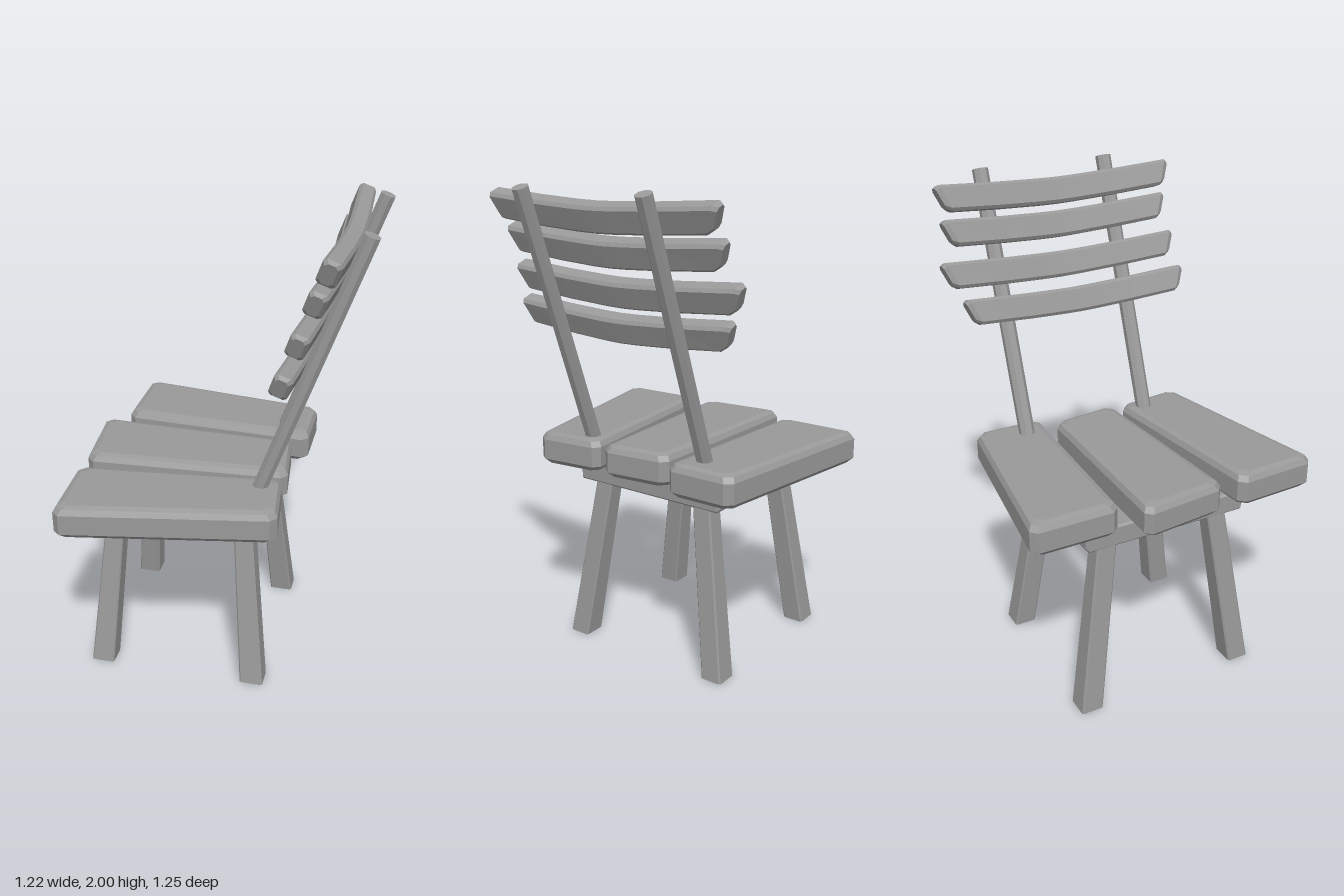
import * as THREE from 'three';

const V = (x, y, z) => new THREE.Vector3(x, y, z);

// Closed, faceted solid through equal-length rings of points
function loft(rings) {
  const n = rings[0].length, tris = [];
  for (let r = 0; r < rings.length - 1; r++) {
    for (let i = 0; i < n; i++) {
      const j = (i + 1) % n, a = rings[r], b = rings[r + 1];
      tris.push([a[i], a[j], b[j]], [a[i], b[j], b[i]]);
    }
  }
  const first = rings[0], last = rings[rings.length - 1];
  for (let i = 1; i < n - 1; i++) {
    tris.push([first[0], first[i + 1], first[i]], [last[0], last[i], last[i + 1]]);
  }
  // turn the faces outward whichever way the rings run
  let volume = 0;
  for (const [a, b, c] of tris) volume += a.dot(b.clone().cross(c));
  const points = tris.flatMap(([a, b, c]) => (volume < 0 ? [a, c, b] : [a, b, c]));
  const geometry = new THREE.BufferGeometry().setFromPoints(points);
  geometry.computeVertexNormals();
  return geometry;
}

// Four corners [a, b], moved inward and cut off to an octagon
function cutCorners(corners, inset, cut) {
  const pts = corners.map((c) => new THREE.Vector2(...c));
  const toward = (from, to) => to.clone().sub(from).normalize();
  const moved = pts.map((p, i) => p.clone()
    .addScaledVector(toward(p, pts[(i + 1) % 4]), inset)
    .addScaledVector(toward(p, pts[(i + 3) % 4]), inset));
  return moved.flatMap((p, i) => [
    p.clone().addScaledVector(toward(p, moved[(i + 3) % 4]), cut),
    p.clone().addScaledVector(toward(p, moved[(i + 1) % 4]), cut),
  ]);
}

const rect = (a, b, ha, hb) => [[a - ha, b - hb], [a + ha, b - hb], [a + ha, b + hb], [a - ha, b + hb]];

export function createModel() {
  const group = new THREE.Group();
  const wood = new THREE.MeshStandardMaterial({ color: 0x999999 });
  wood.name = 'grey wood';
  const add = (name, rings) => {
    const mesh = new THREE.Mesh(loft(rings), wood);
    mesh.name = name;
    group.add(mesh);
  };

  // Seat planks: uneven four-sided outlines [x, z] with bevelled rims
  const planks = {
    rightSeatPlank: [[-0.525, -0.63], [0.312, -0.515], [0.312, -0.215], [-0.525, -0.26]],
    middleSeatPlank: [[-0.612, -0.192], [0.25, -0.166], [0.285, 0.133], [-0.572, 0.178]],
    leftSeatPlank: [[-0.578, 0.26], [0.27, 0.17], [0.305, 0.465], [-0.56, 0.625]],
  };
  for (const [name, outline] of Object.entries(planks)) {
    add(name, [[0.8, 0.02], [0.822, 0], [0.908, 0], [0.93, 0.012], [0.938, 0.035]].map(([y, inset]) =>
      cutCorners(outline, inset, 0.028).map((p) => V(p.x, y, p.y))));
  }

  // Cross bars under the seat
  for (const [name, x] of [['frontCrossBar', -0.418], ['rearCrossBar', 0.124]]) {
    add(name, [[0.35, 0.012], [0.338, 0], [-0.363, 0], [-0.375, 0.012]].map(([z, inset]) =>
      cutCorners(rect(x, 0.759, 0.048, 0.045), inset, 0.008).map((p) => V(p.x, p.y, z))));
  }

  // Splayed, slightly tapering legs: centre at floor and at the cross bar
  for (const [end, x0, x1] of [['front', -0.485, -0.42], ['rear', 0.19, 0.122]]) {
    for (const [side, z0, z1] of [['Left', 0.322, 0.215], ['Right', -0.392, -0.278]]) {
      add(`${end}${side}Leg`, [
        cutCorners(rect(x0, z0, 0.05, 0.047), 0, 0.006).map((p) => V(p.x, 0, p.y)),
        cutCorners(rect(x1, z1, 0.039, 0.042), 0, 0.006).map((p) => V(p.x, 0.77, p.y)),
      ]);
    }
  }

  // Backrest leans back: "up" runs along the posts, "out" is square to them
  const up = V(0.38, 1.055, 0).normalize();
  const out = V(up.y, -up.x, 0);

  // Octagonal back posts
  for (const [side, z] of [['left', 0.252], ['right', -0.323]]) {
    add(`${side}BackPost`, [V(0.171, 0.865, z), V(0.578, 1.99, z)].map((centre) =>
      cutCorners(rect(0, 0, 0.03, 0.031), 0, 0.017).map((p) =>
        centre.clone().addScaledVector(out, p.x).add(V(0, 0, p.y)))));
  }

  // Back slats: [x, y, right end z, left end z], sagging and bowed in the middle
  const slats = [
    [0.303, 1.478, -0.53, 0.505],
    [0.354, 1.628, -0.6, 0.48],
    [0.411, 1.785, -0.568, 0.467],
    [0.459, 1.915, -0.572, 0.51],
  ];
  const stations = [[0, 0.012], [0.02, 0], [0.25, 0], [0.42, 0], [0.5, 0], [0.58, 0], [0.75, 0], [0.98, 0], [1, 0.012]];
  slats.forEach(([x, y, z0, z1], i) => {
    const middle = (z0 + z1) / 2, half = (z1 - z0) / 2;
    add(`backSlat${i + 1}`, stations.map(([t, inset]) => {
      const s = 2 * t - 1, bend = 1 - Math.abs(s) ** 1.5;
      return cutCorners(rect(0, 0, 0.037, 0.054), inset, 0.012).map((p) => {
        // ends are cut at a slant, shorter along the bottom
        const reach = half - 0.022 + 0.4 * p.y;
        return V(x + 0.018 * bend, y - 0.027 * bend, middle + s * reach)
          .addScaledVector(out, p.x).addScaledVector(up, p.y);
      });
    }));
  });

  return group;
}
